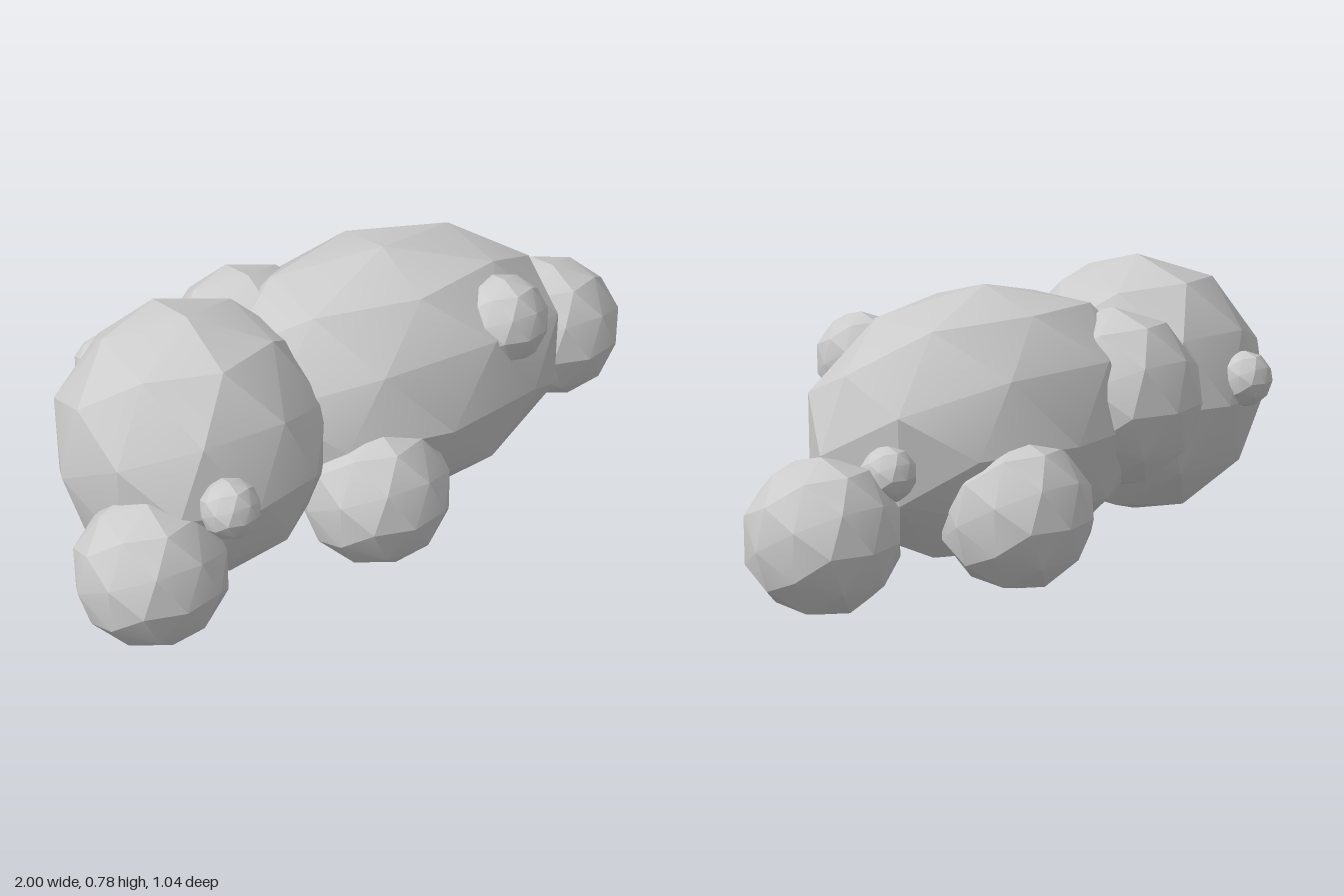
import * as THREE from 'three';
import { toCreasedNormals } from 'three/addons/utils/BufferGeometryUtils.js';

export function createModel() {
  const group = new THREE.Group();
  const material = new THREE.MeshStandardMaterial({ color: 0xcccccc });

  // Faceted ball: once-divided icosahedron, optionally stretched along x
  function ball(name, x, y, z, r, stretch = 1) {
    const geometry = new THREE.IcosahedronGeometry(r, 1);
    geometry.rotateY(Math.PI / 2);
    geometry.scale(stretch, 1, 1);
    const mesh = new THREE.Mesh(toCreasedNormals(geometry, THREE.MathUtils.degToRad(20)), material);
    mesh.name = name;
    mesh.position.set(x, y, z);
    group.add(mesh);
  }

  // Large masses
  ball('mainBody', 0.11, 0.39, 0, 0.39, 0.58 / 0.39);
  ball('sideBody', -0.52, 0.39, 0.04, 0.39);
  ball('rearLump', -0.22, 0.435, -0.175, 0.26);

  // Four equal balls resting on the ground
  const feet = [[-0.785, 0.305], [-0.09, 0.305], [0.785, -0.13], [0.26, -0.305]];
  feet.forEach(([x, z], i) => ball('groundBall' + (i + 1), x, 0.217, z, 0.215));

  // Small bumps on the surface
  ball('frontBump', -0.61, 0.44, 0.437, 0.083);
  ball('backBump', -0.615, 0.45, -0.313, 0.083);
  ball('sideBump', 0.61, 0.365, -0.19, 0.077);
  ball('upperBump', 0.375, 0.575, 0.217, 0.13);

  return group;
}
